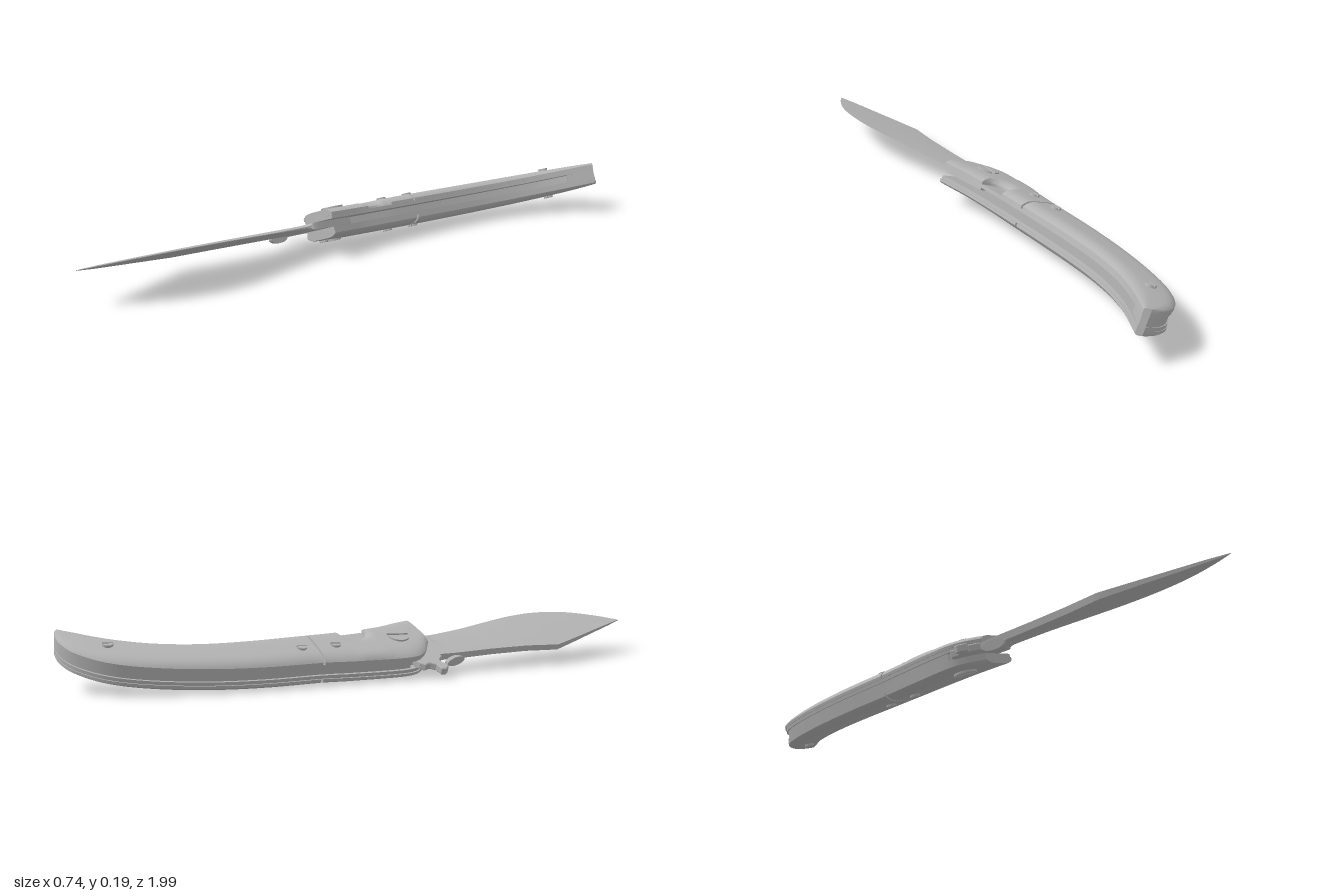
import * as THREE from 'three';
import { toCreasedNormals, mergeGeometries } from 'three/addons/utils/BufferGeometryUtils.js';

const steel = new THREE.MeshStandardMaterial({ color: 0xb4b4b4 });
steel.name = 'steel';

// Parts are modelled flat (y = thickness), then laid on this tilted plane
const SX = 0.36, SZ = 0.108;
const n = new THREE.Vector3(-SX, 1, -SZ).normalize();
const TILT = new THREE.Matrix4().makeBasis(
  new THREE.Vector3(1, SX, 0), n, new THREE.Vector3(0, SZ, 1)).setPosition(0, 0.1304, 0);

const spline = pts => new THREE.SplineCurve(pts.map(p => new THREE.Vector2(...p)));

// Handle outline: convex back and concave mouth, paired point by point
const BACK = spline([[-.19, .125], [-.235, .07], [-.244, 0], [-.19, -.18], [-.152, -.29], [-.10, -.47],
  [-.037, -.64], [.043, -.80], [.122, -.91], [.21, -.975], [.285, -.993], [.345, -.982]]);
const MOUTH = spline([[-.045, .145], [-.042, .09], [-.038, 0], [-.012, -.15], [.01, -.255], [.055, -.45],
  [.10, -.60], [.155, -.72], [.215, -.81], [.27, -.875], [.32, -.925], [.358, -.965]]);
const JOINT = 4 / 11;
const NOTCH = new THREE.Vector2(-.03, -.095), NOTCH_R = .055;

// Skin closed cross-sections (arrays of [x, y, z]) and cap both ends
function loft(rings, flip) {
  const m = rings[0].length, last = (rings.length - 1) * m, idx = [];
  const tri = (a, b, c) => flip ? idx.push(a, c, b) : idx.push(a, b, c);
  for (let i = 0; i < rings.length - 1; i++) {
    for (let j = 0; j < m; j++) {
      const a = i * m + j, b = i * m + (j + 1) % m;
      tri(a, a + m, b);
      tri(b, a + m, b + m);
    }
  }
  for (let j = 1; j < m - 1; j++) {
    tri(0, j, j + 1);
    tri(last, last + j + 1, last + j);
  }
  const g = new THREE.BufferGeometry();
  g.setAttribute('position', new THREE.Float32BufferAttribute(rings.flat(2), 3));
  g.setIndex(idx);
  return toCreasedNormals(g, 0.5);
}

// Strip of the handle from s0 to s1 along it and t0 to t1 across it
function strip({ s0, s1, t0 = 0, t1 = 1, low, top, side = 1, notch = false, steps = 48 }) {
  const rings = [];
  for (let i = 0; i <= steps; i++) {
    const s = s0 + (s1 - s0) * i / steps;
    const l = BACK.getPoint(s), r = MOUTH.getPoint(s);
    if (notch) {
      const full = r.clone();
      for (let k = 0; k < 100 && r.distanceTo(NOTCH) < NOTCH_R; k++) r.lerpVectors(full, l, k / 100);
    }
    const at = (t, w) => { const p = l.clone().lerp(r, t); return [p.x, w * side, p.y]; };
    const ring = [at(t0, low), at(t1, low)];
    for (let k = 12; k >= 0; k--) {
      const c = k / 12;
      // points crowd toward the rounded edges
      const t = (1 - Math.cos(c * Math.PI)) / 2;
      ring.push(at(t0 + (t1 - t0) * t, top(s, t)));
    }
    rings.push(ring);
  }
  return loft(rings, side < 0);
}

const crown = s => .049 + .009 * Math.sin(Math.PI * s) - .008 * s * s;
const domed = (s, t) => .036 + (crown(s) - .036) * (1 - Math.abs(2 * t - 1) ** 5);
const flat = w => () => w;

// Flat outline in (x, z) pulled up and down by half its thickness
function plate(points, half) {
  const shape = new THREE.Shape(points.map(([x, z]) => new THREE.Vector2(x, -z)));
  return new THREE.ExtrudeGeometry(shape, {
    depth: half * 2 - .006, bevelThickness: .003, bevelSize: .003, bevelOffset: -.003, bevelSegments: 1,
  }).translate(0, 0, -half + .003).rotateX(-Math.PI / 2);
}

// Slotted screw head: two half discs over a solid base
function screw(r, x, z, w, side) {
  const a = 0.14;
  const shape = new THREE.Shape();
  shape.absarc(0, 0, r, a, Math.PI - a, false);
  const half = new THREE.ExtrudeGeometry(shape, { depth: .018, bevelEnabled: false, curveSegments: 16 })
    .rotateX(-Math.PI / 2).translate(0, -.011, 0);
  const base = new THREE.CylinderGeometry(r, r, .013, 24).translate(0, -.005, 0).toNonIndexed();
  const g = mergeGeometries([half, half.clone().rotateY(Math.PI), base]);
  g.rotateY(1.2);
  if (side < 0) g.rotateX(Math.PI);
  return g.translate(x, w * side, z);
}

// Wedge blade: thick spine, ground down to the curved cutting edge
function blade() {
  const spine = [[-.22, 0], [-.24, .14], [-.25, .175], [-.257, .2], [-.288, .34], [-.325, .48],
    [-.368, .6], [-.356, .72], [-.343, .835], [-.333, .93], [-.325, .997]];
  const edge = spline([[-.09, 0], [-.10, .14], [-.105, .175], [-.115, .2], [-.124, .34], [-.126, .48],
    [-.13, .6], [-.15, .72], [-.195, .835], [-.262, .93], [-.322, .995]]);
  const half = [.012, .012, .012, .012, .0115, .011, .0105, .008, .006, .004, .001];
  const sharp = [.012, .012, .012, .003, .001, .001, .001, .001, .001, .001, .0005];
  const rings = [], sub = 4, count = spine.length - 1;
  for (let i = 0; i <= count * sub; i++) {
    const k = Math.min(Math.floor(i / sub), count - 1), f = i / sub - k;
    const mix = (a, b) => a + (b - a) * f;
    const h = mix(half[k], half[k + 1]), e = mix(sharp[k], sharp[k + 1]);
    const l = new THREE.Vector2(mix(spine[k][0], spine[k + 1][0]), mix(spine[k][1], spine[k + 1][1]));
    const r = edge.getPoint(i / (count * sub));
    const at = (t, w) => { const p = l.clone().lerp(r, t); return [p.x, w, p.y]; };
    rings.push([at(0, -h), at(.45, -h), at(1, -e), at(1, e), at(.45, h), at(0, h)]);
  }
  return loft(rings, true);
}

export function createModel() {
  const model = new THREE.Group();
  model.name = 'foldingKnife';
  const add = (name, geometry) => {
    const mesh = new THREE.Mesh(geometry.applyMatrix4(TILT), steel);
    mesh.name = name;
    model.add(mesh);
  };

  add('blade', blade());

  // Both sides of the handle
  for (const side of [1, -1]) {
    const tag = side > 0 ? 'upper' : 'lower';
    add(tag + 'Bolster', strip({ s0: 0, s1: JOINT - .002, low: .026, top: domed, side, notch: side > 0, steps: 80 }));
    add(tag + 'Scale', strip({ s0: JOINT + .002, s1: 1, low: .026, top: domed, side }));
    add(tag + 'Liner', strip({ s0: .004, s1: .997, t0: .02, t1: .98, low: .014, top: flat(.0265), side }));
    add(tag + 'PivotScrew', screw(.038, -.155 + .018 * side, .03, .052, side));
    for (const [x, z, w] of [[-.12, -.21, .0555], [-.09, -.325, .056], [.175, -.875, .052]]) {
      add(tag + 'Screw', screw(.017, x + .018, z, w, side));
    }
  }

  // Spring along the back and block closing the tail
  add('backSpring', strip({ s0: .17, s1: .96, t0: .06, t1: .28, low: -.0145, top: flat(.0145) }));
  add('tailSpacer', strip({ s0: .84, s1: .995, t0: .06, t1: .92, low: -.0145, top: flat(.0145) }));

  // Hooked finger guard on the blade heel
  add('fingerGuard', plate([[-.21, .03], [-.255, .035], [-.272, .045], [-.27, .07], [-.285, .082], [-.312, .082],
    [-.32, .095], [-.312, .112], [-.298, .122], [-.285, .112], [-.268, .112], [-.25, .14], [-.21, .14]], .013));

  // Small upright tab beside the spine
  add('spineTab', new THREE.CylinderGeometry(.04, .04, .014, 24)
    .rotateZ(Math.PI / 2).scale(1, .42, 1).translate(-.262, -.014, .195));

  // Rest on the ground
  const box = new THREE.Box3().setFromObject(model, true);
  const mid = box.getCenter(new THREE.Vector3());
  model.position.set(-mid.x, -box.min.y, -mid.z);
  return model;
}
